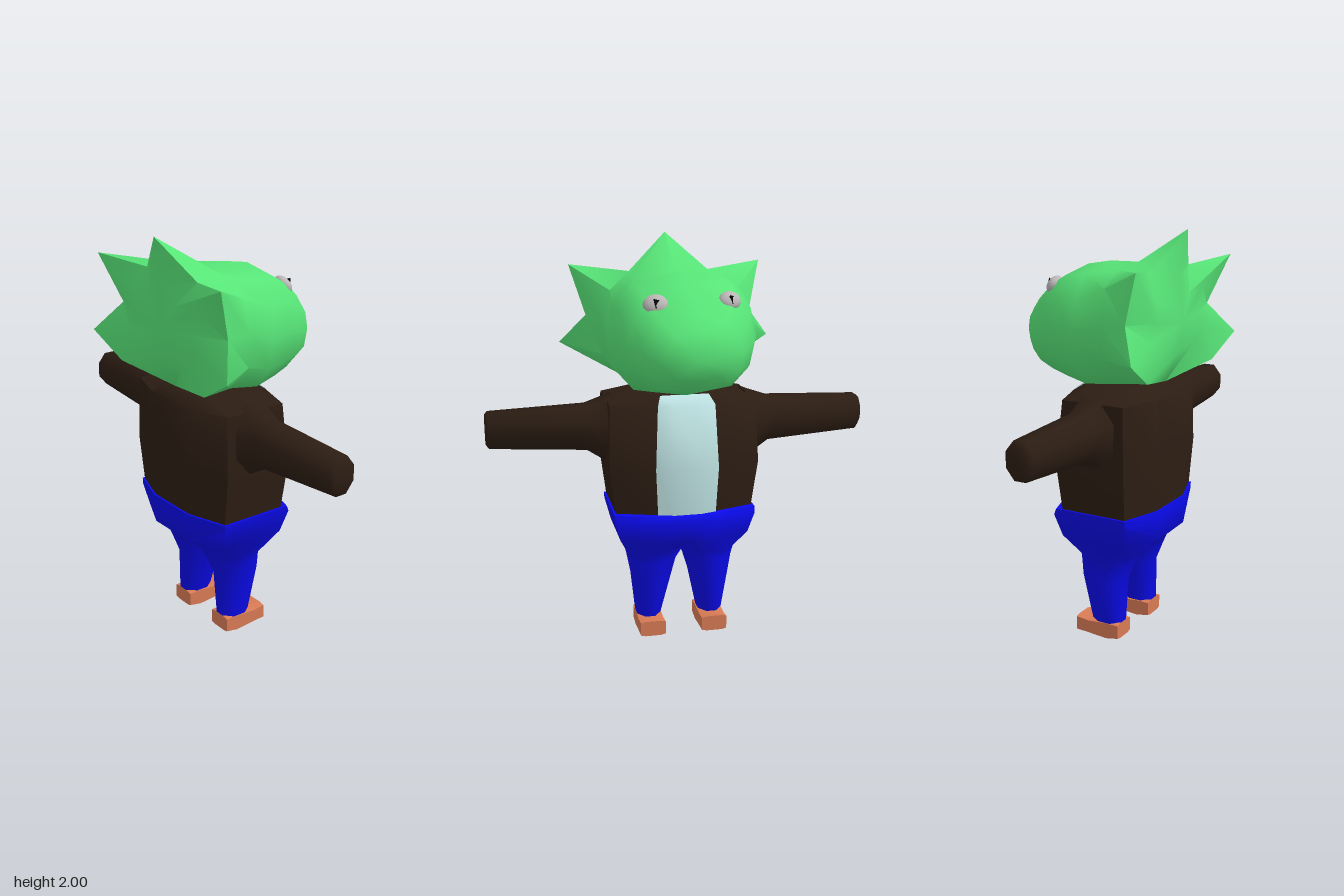
import * as THREE from 'three';
import { toCreasedNormals } from 'three/addons/utils/BufferGeometryUtils.js';

const GREEN = 0x57e477, BROWN = 0x2c1d13, BLUE = 0x0a0aea, SHIRT = 0xbfe3e3, SHOE = 0xd87a54, EYE = 0xbcb8b8, BLACK = 0x080808;

function addMesh(parent, name, geometry, color) {
  const mesh = new THREE.Mesh(geometry, new THREE.MeshStandardMaterial({ color }));
  mesh.name = name;
  parent.add(mesh);
  return mesh;
}

// Skin a list of equal-length rings; both ends close onto a centre point.
function loft(rings, crease = 1.15, startTip = null, endTip = null) {
  const n = rings[0].length;
  const mean = (ring) => [0, 1, 2].map((k) => ring.reduce((s, p) => s + p[k], 0) / n);
  const pts = [...rings.flat(), startTip || mean(rings[0]), endTip || mean(rings[rings.length - 1])];
  let faces = [];
  for (let j = 0; j < n; j++) {
    const k = (j + 1) % n;
    for (let i = 0; i < rings.length - 1; i++) {
      const a = i * n + j, b = i * n + k, c = a + n, d = b + n;
      faces.push([a, b, d], [a, d, c]);
    }
    const last = (rings.length - 1) * n;
    faces.push([pts.length - 2, k, j], [pts.length - 1, last + j, last + k]);
  }
  // Turn the faces outwards if the enclosed volume is negative
  const v = (i) => new THREE.Vector3(...pts[i]);
  const volume = faces.reduce((s, [a, b, c]) => s + v(a).dot(v(b).cross(v(c))), 0);
  if (volume < 0) faces = faces.map(([a, b, c]) => [a, c, b]);
  const g = new THREE.BufferGeometry();
  g.setAttribute('position', new THREE.Float32BufferAttribute(pts.flat(), 3));
  g.setIndex(faces.flat());
  return toCreasedNormals(g, crease);
}

// Eight-sided section filling u0..u1 by v0..v1; ku and kv are the flat fractions of its sides
function octagon(u0, u1, v0, v1, ku = 0.41, kv = 0.41) {
  return [[1, kv], [ku, 1], [-ku, 1], [-1, kv], [-1, -kv], [-ku, -1], [ku, -1], [1, -kv]].map(
    ([a, b]) => [(u0 + u1) / 2 + (a * (u1 - u0)) / 2, (v0 + v1) / 2 + (b * (v1 - v0)) / 2]);
}

// Level section at height y
const level = ([y, x0, x1, z0, z1, kx]) => octagon(x0, x1, z0, z1, kx).map(([x, z]) => [x, y, z]);

// Mirror half a section, listed top to bottom as [x, y, z]
const mirrored = (half) => [...half, ...half.slice(1, -1).reverse().map(([x, y, z]) => [x, y, -z])];

function buildHead() {
  // Spiked crest rim and its shallow hollow back
  const crest = mirrored([
    [-0.4, 2.0, 0], [-0.31, 1.82, 0.2], [-0.4, 1.85, 0.49], [-0.31, 1.61, 0.42],
    [-0.41, 1.46, 0.545], [-0.38, 1.345, 0.34], [-0.3, 1.29, 0],
  ]);
  const back = crest.map(([, y, z]) => [-0.365, 1.58 + (y - 1.58) * 0.5, z * 0.5]);
  const skull = mirrored([
    [-0.15, 1.842, 0], [-0.15, 1.82, 0.2], [-0.15, 1.75, 0.32], [-0.15, 1.6, 0.365],
    [-0.15, 1.44, 0.36], [-0.15, 1.31, 0.23], [-0.15, 1.255, 0],
  ]);
  // Boxy rounded sections narrowing towards the nose: x, top, bottom, half width
  const face = [
    [0, 1.84, 1.25, 0.36], [0.12, 1.82, 1.28, 0.337], [0.21, 1.765, 1.305, 0.3],
    [0.31, 1.68, 1.335, 0.225], [0.37, 1.62, 1.4, 0.155],
  ].map(([x, top, bottom, w]) => mirrored(Array.from({ length: 7 }, (_, i) => {
    const t = (i * Math.PI) / 6, s = Math.sin(t);
    return [x, (top + bottom) / 2 + ((top - bottom) / 2) * Math.cos(t), w * Math.pow(s < 1e-6 ? 0 : s, 0.62)];
  })));
  return loft([back, crest, skull, ...face], 1.0, [-0.385, 1.58, 0], [0.405, 1.495, 0]);
}

export function createModel() {
  const model = new THREE.Group();
  model.name = 'spikyHeadedFigure';

  addMesh(model, 'head', buildHead(), GREEN);

  // Eyes, set slightly unevenly, with dark pointed pupils
  for (const [side, x, y, z, size] of [['left', 0.207, 1.728, 0.163, 1], ['right', 0.197, 1.735, -0.186, 0.92]]) {
    const eye = new THREE.Group();
    eye.name = side + 'Eye';
    eye.position.set(x, y, z);
    eye.rotation.set(0, z > 0 ? -0.25 : 0.25, 0.6);
    eye.scale.setScalar(size);
    const ball = addMesh(eye, 'eyeball', new THREE.SphereGeometry(1, 12, 8), EYE);
    ball.scale.set(0.034, 0.05, 0.06);
    const pupil = addMesh(eye, 'pupil', new THREE.ConeGeometry(0.024, 0.042, 3), BLACK);
    pupil.position.set(0.026, -0.014, z > 0 ? -0.004 : 0.004);
    pupil.rotation.x = Math.PI;
    model.add(eye);
  }

  // Jacket body
  addMesh(model, 'jacket', loft([
    [0.64, -0.33, 0.13, -0.335, 0.335, 0.72], [0.92, -0.335, 0.145, -0.37, 0.37, 0.75],
    [1.23, -0.335, 0.12, -0.36, 0.36, 0.7], [1.275, -0.26, 0.06, -0.21, 0.21, 0.6],
  ].map(level)), BROWN);

  // Shirt panel bulging between the jacket edges: y, edge x, middle x, half width
  addMesh(model, 'shirtFront', loft([
    [0.64, 0.135, 0.155, 0.142], [0.92, 0.15, 0.18, 0.155], [1.23, 0.126, 0.135, 0.14], [1.27, 0.075, 0.08, 0.12],
  ].map(([y, edge, mid, w]) => [
    [edge, y, -w], [mid, y, -w * 0.45], [mid, y, w * 0.45], [edge, y, w], [0, y, 0],
  ])), SHIRT);

  for (const s of [1, -1]) {
    const side = s > 0 ? 'left' : 'right';
    const mirror = (ring) => ring.map(([x, y, z]) => [x, y, z * s]);

    // Sleeved arm, flared where it joins the shoulder: z, x range, y range
    addMesh(model, side + 'Arm', loft([
      [0.33, -0.24, 0.05, 0.89, 1.25], [0.37, -0.22, 0.03, 0.93, 1.235], [0.46, -0.195, -0.005, 0.985, 1.205],
      [0.93, -0.17, -0.03, 1.015, 1.19], [0.945, -0.155, -0.045, 1.035, 1.175],
    ].map(([z, x0, x1, y0, y1]) => mirror(octagon(x0, x1, y0, y1).map(([x, y]) => [x, y, z])))), BROWN);

    // Half of the hips, cut flat on the centre plane, running on into the tapering leg
    const hips = [
      [0.69, -0.34, 0.165, -0.352, 0.352, 0.74], [0.66, -0.342, 0.18, -0.35, 0.35, 0.74],
      [0.55, -0.34, 0.168, -0.322, 0.322, 0.66],
    ].map(level).map((ring) => ring.map(([x, y, z]) => [x, y, Math.max(z, 0)]));
    const leg = [
      [0.445, -0.22, 0.06, 0.0, 0.272, 0.5], [0.4, -0.2, 0.053, 0.027, 0.262, 0.45],
      [0.31, -0.165, 0.047, 0.052, 0.247], [0.09, -0.165, -0.005, 0.1, 0.222],
    ].map(level);
    addMesh(model, side + 'TrouserHalf', loft([...hips, ...leg].map(mirror)), BLUE);

    // Blunt shoe, dipping over the instep: x, y range
    addMesh(model, side + 'Shoe', loft([
      [-0.166, 0.015, 0.093], [-0.1, 0.002, 0.096], [0.0, 0.012, 0.087], [0.068, 0.016, 0.095],
    ].map(([x, y0, y1]) => mirror(octagon(y0, y1, 0.095, 0.223, 0.85, 0.6).map(([y, z]) => [x, y, z])))), SHOE);
  }
  return model;
}
